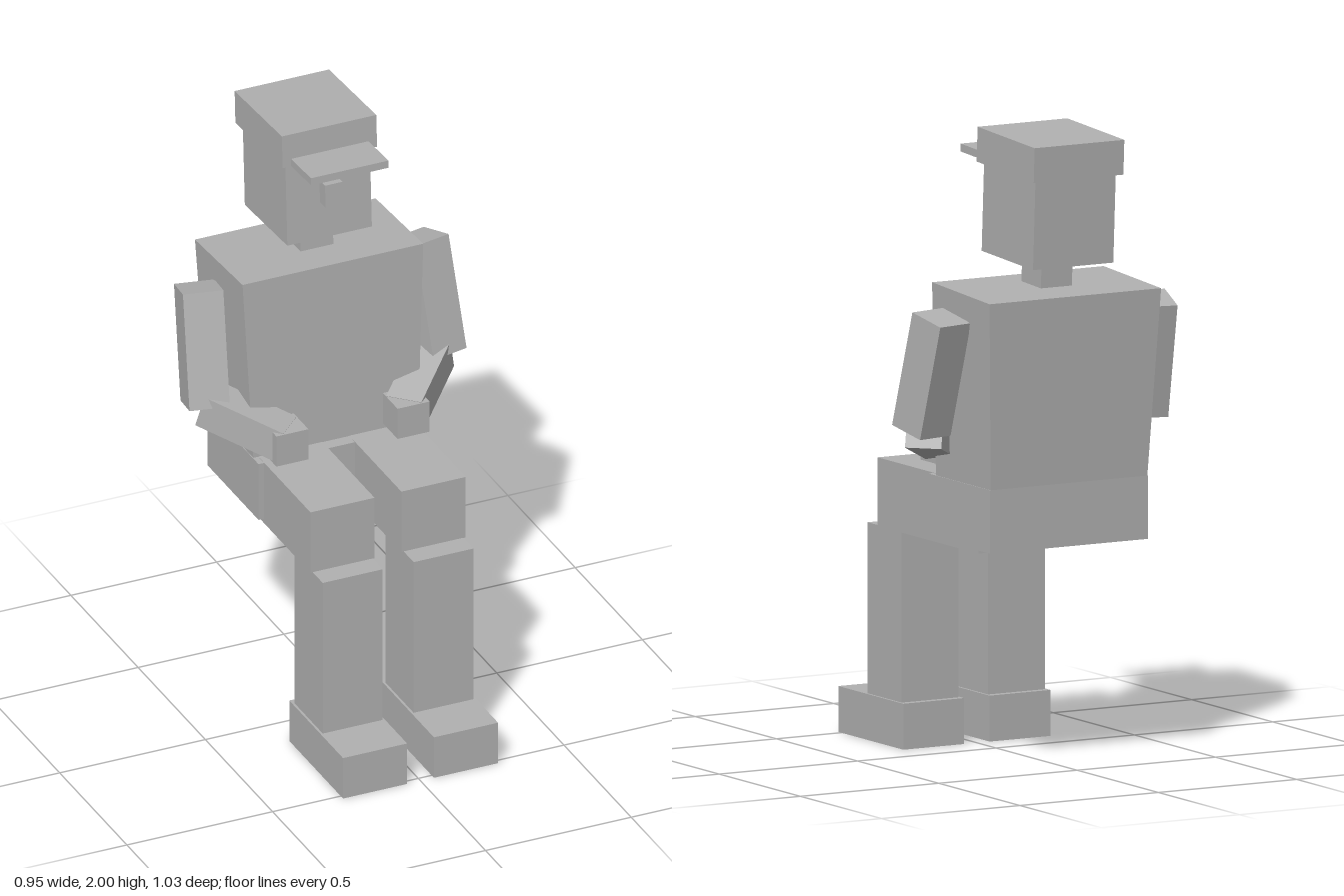
import * as THREE from 'three';

export function createModel() {
  const model = new THREE.Group();
  model.name = 'seatedFigure';
  const grey = new THREE.MeshStandardMaterial({ color: 0xb0b0b0 });
  grey.name = 'plain grey';

  // Box by size and centre, yawed about y and then pitched about x
  function block(name, size, centre, pitch = 0, yaw = 0) {
    const mesh = new THREE.Mesh(new THREE.BoxGeometry(...size), grey);
    mesh.name = name;
    mesh.position.set(...centre);
    mesh.rotation.set(pitch, yaw, 0, 'YXZ');
    model.add(mesh);
    return mesh;
  }

  const lean = -0.053; // slight backward lean of the upper body

  // Head, nose, neck and cap
  block('head', [0.29, 0.285, 0.317], [0, 1.738, -0.325], lean);
  block('nose', [0.06, 0.077, 0.05], [0, 1.768, -0.151], lean);
  block('neck', [0.112, 0.1, 0.12], [0, 1.561, -0.315], lean);
  block('capCrown', [0.324, 0.111, 0.352], [0, 1.933, -0.336], lean);
  block('capBrim', [0.266, 0.025, 0.155], [0, 1.904, -0.086], lean);

  // Torso: box tapered towards the waist, with a sloping top
  const torso = block('torso', [2, 2, 2], [0, 0, 0]);
  const p = torso.geometry.attributes.position;
  for (let i = 0; i < p.count; i++) {
    const top = p.getY(i) > 0, front = p.getZ(i) > 0;
    const x = Math.sign(p.getX(i)) * (top ? 0.31 : 0.283);
    const y = top ? (front ? 1.515 : 1.495) : 0.9;
    const z = top ? (front ? -0.135 : -0.489) : (front ? -0.113 : -0.45);
    p.setXYZ(i, x, y, z);
  }
  torso.geometry.computeVertexNormals();

  block('hips', [0.57, 0.2, 0.38], [0, 0.8, -0.26]);

  // Limbs, mirrored left (+x) and right (-x)
  for (const [side, s] of [['left', 1], ['right', -1]]) {
    block(side + 'UpperArm', [0.129, 0.378, 0.133], [s * 0.389, 1.25, -0.266], -0.25, s * 0.213);
    block(side + 'Forearm', [0.117, 0.11, 0.274], [s * 0.299, 1.026, -0.134], 0.29, -s * 0.785);
    block(side + 'Hand', [0.11, 0.108, 0.11], [s * 0.208, 0.984, -0.04]);
    block(side + 'Thigh', [0.22, 0.217, 0.62], [s * 0.156, 0.7925, -0.035]);
    block(side + 'Shin', [0.205, 0.56, 0.21], [s * 0.156, 0.405, 0.245]);
    block(side + 'Foot', [0.22, 0.145, 0.4], [s * 0.156, 0.0725, 0.317]);
  }
  return model;
}
